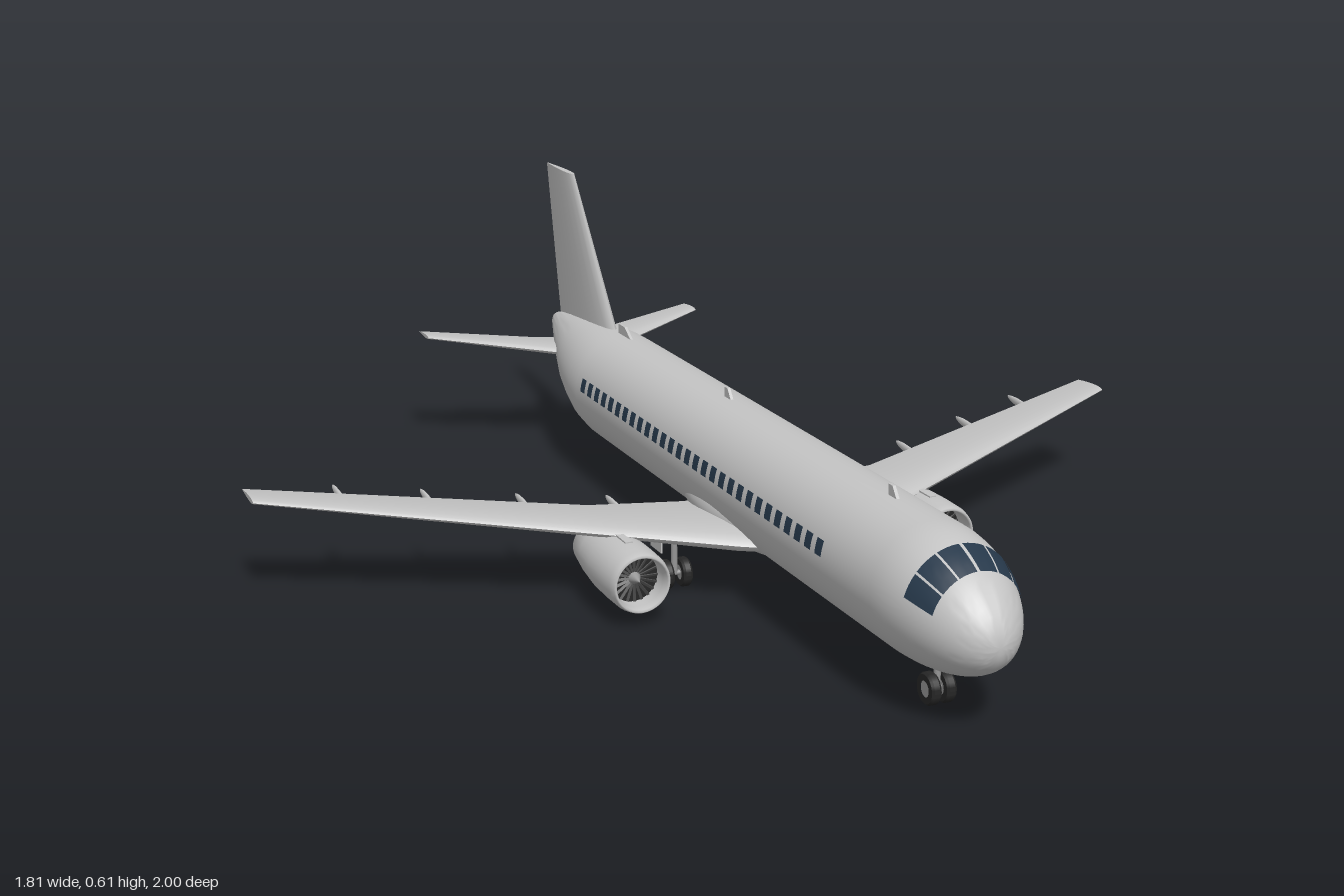
import * as THREE from 'three';
import { mergeGeometries, toCreasedNormals } from 'three/addons/utils/BufferGeometryUtils.js';

const mat = (name, color, side = THREE.FrontSide) => {
  const m = new THREE.MeshStandardMaterial({ color, side });
  m.name = name;
  return m;
};

// Skin through rings of [x, y, z]; each ring turns right-handed about the direction of travel
function loft(rings, closed = true) {
  const n = rings[0].length, pos = rings.flat(2), idx = [];
  for (let i = 0; i < rings.length - 1; i++) {
    for (let j = 0; j < (closed ? n : n - 1); j++) {
      const a = i * n + j, b = i * n + (j + 1) % n;
      idx.push(a, b, b + n, a, b + n, a + n);
    }
  }
  if (closed) {
    const last = (rings.length - 1) * n;
    for (let j = 1; j < n - 1; j++) idx.push(0, j + 1, j, last, last + j, last + j + 1);
  }
  const g = new THREE.BufferGeometry();
  g.setAttribute('position', new THREE.Float32BufferAttribute(pos, 3));
  g.setIndex(idx);
  return toCreasedNormals(g, 0.7);
}

// Tail stations: z, top, bottom, half width
const tail = [
  [-0.54, 0.306, 0.074, 0.112], [-0.6, 0.306, 0.079, 0.107], [-0.66, 0.304, 0.093, 0.097],
  [-0.72, 0.3, 0.115, 0.085], [-0.78, 0.294, 0.142, 0.068], [-0.84, 0.287, 0.171, 0.05],
  [-0.9, 0.278, 0.202, 0.031], [-0.94, 0.27, 0.228, 0.018], [-0.96, 0.262, 0.242, 0.009],
];

// Fuselage centre height and half sizes at z
function section(z) {
  if (z > 0.78) {
    const t = Math.min((z - 0.78) / 0.22, 1), r = Math.sqrt(1 - t * t);
    return [0.19 - 0.024 * t * t, 0.112 * r, 0.116 * r];
  }
  if (z >= tail[0][0]) return [0.19, 0.112, 0.116];
  let i = 0;
  while (i < tail.length - 2 && z < tail[i + 1][0]) i++;
  const k = (z - tail[i][0]) / (tail[i + 1][0] - tail[i][0]);
  const [, top, bot, w] = tail[i].map((v, j) => THREE.MathUtils.lerp(v, tail[i + 1][j], k));
  return [(top + bot) / 2, w, (top - bot) / 2];
}
const skin = (z, a, off = 0) => {
  const [y, rx, ry] = section(z);
  return [(rx + off) * Math.sin(a), y + (ry + off) * Math.cos(a), z];
};
const steps = (n, f) => Array.from({ length: n + 1 }, (_, i) => f(i / n));

// Thin patch lying on the fuselage between two stations and two angles from the top
const patch = (z0, z1, a0, a1) => loft(steps(4, (u) => steps(4, (v) =>
  skin(z0 + (z1 - z0) * u, a0 + (a1 - a0) * v, 0.0025))), false);

// Aerofoil as [chord fraction, half thickness], trailing edge over the top and back underneath
const half = (f) => 5 * (0.2969 * Math.sqrt(f) - 0.126 * f - 0.3516 * f ** 2 + 0.2843 * f ** 3 - 0.1016 * f ** 4);
const foil = Array.from({ length: 20 }, (_, i) => {
  const a = (i / 20) * Math.PI * 2, f = (1 + Math.cos(a)) / 2;
  return [f, half(f) * (i <= 10 ? 1 : -1)];
});
// Sections: x, y, leading z, trailing z, thickness
function aerofoil(sections, side) {
  const rings = sections.map(([x, y, le, te, t]) =>
    foil.map(([f, h]) => [x * side, y + h * t, le + (te - le) * f]));
  return loft(side > 0 ? rings : rings.reverse());
}

export function createModel() {
  const root = new THREE.Group();
  root.name = 'airliner';
  const body = mat('body grey', 0xc4c4c4);
  const shell = mat('shell grey', 0xc4c4c4, THREE.DoubleSide);
  const glass = mat('window blue', 0x26384a);
  const dark = mat('dark metal', 0x4a4a4a);
  const tyre = mat('tyre black', 0x262626);
  const metal = mat('hub grey', 0x969696);
  const add = (name, geo, m, x = 0, y = 0, z = 0, parent = root) => {
    const mesh = new THREE.Mesh(geo, m);
    mesh.name = name;
    mesh.position.set(x, y, z);
    parent.add(mesh);
    return mesh;
  };

  // Fuselage
  const stations = [
    ...steps(16, (u) => 0.78 + 0.22 * Math.cos(u * Math.PI / 2)),
    0.4, 0, -0.3, ...tail.map((s) => s[0]),
  ];
  add('fuselage', loft(stations.map((z) => steps(47, (u) => skin(z, u * Math.PI * 2 * 47 / 48)))), body);
  const exhaust = new THREE.CylinderGeometry(0.012, 0.008, 0.012, 16).rotateX(Math.PI / 2);
  add('tailExhaust', exhaust, dark, 0, 0.252, -0.959);
  const belly = add('bellyFairing', new THREE.SphereGeometry(1, 40, 20), body, 0, 0.13, 0.14);
  belly.scale.set(0.11, 0.062, 0.27);

  // Cabin and cockpit windows
  const cabin = [], cockpit = [];
  for (const s of [1, -1]) {
    const sided = (z0, z1, a0, a1) => (s > 0 ? patch(z0, z1, a0, a1) : patch(z0, z1, -a1, -a0));
    for (let i = 0; i < 29; i++) {
      const z = 0.613 - i * 0.0392;
      cabin.push(sided(z, z - 0.023, 1.22, 1.46));
    }
    for (let i = 0; i < 3; i++) cockpit.push(sided(0.928, 0.87, 0.03 + i * 0.42, 0.41 + i * 0.42));
  }
  add('cabinWindows', mergeGeometries(cabin), glass);
  add('cockpitWindows', mergeGeometries(cockpit), glass);

  // Tail fin, lofted upwards
  const fin = [[0.27, -0.56, -0.928, 0.034], [0.305, -0.59, -0.936, 0.03], [0.607, -0.828, -1, 0.015]];
  add('tailFin', loft(fin.map(([y, le, te, t]) =>
    foil.map(([f, h]) => [-h * t, y, le + (te - le) * f]))), body);

  // Blade antennas
  const blade = (name, z, y, len, h) => {
    const s = new THREE.Shape([[0, 0], [len, 0], [len, h], [len * 0.55, h]].map((p) => new THREE.Vector2(...p)));
    const g = new THREE.ExtrudeGeometry(s, { depth: 0.006, bevelEnabled: false });
    g.translate(-len / 2, 0, -0.003).rotateY(Math.PI / 2);
    const mesh = add(name, g, body, 0, y, z);
    if (h < 0) mesh.material = shell;
  };
  blade('frontAntenna', 0.655, 0.303, 0.03, 0.022);
  blade('middleAntenna', 0, 0.303, 0.03, 0.022);
  blade('rearAntenna', -0.525, 0.3, 0.075, 0.026);
  blade('bellyAntenna', 0.395, 0.077, 0.03, -0.022);

  // Twin wheel set with strut
  const wheels = (name, x, z, gap, top) => {
    const gear = new THREE.Group();
    gear.name = name;
    gear.position.set(x, 0.028, z);
    root.add(gear);
    for (const s of [1, -1]) {
      const profile = [[0.014, -0.009], [0.025, -0.009], [0.028, -0.005], [0.028, 0.005], [0.025, 0.009], [0.014, 0.009]];
      const t = new THREE.LatheGeometry(profile.map((p) => new THREE.Vector2(...p)), 24).rotateZ(Math.PI / 2);
      add('tyre', toCreasedNormals(t, 0.5), tyre, s * gap, 0, 0, gear);
      add('wheelHub', new THREE.CylinderGeometry(0.0145, 0.0145, 0.015, 20).rotateZ(Math.PI / 2), metal, s * gap, 0, 0, gear);
    }
    add('axle', new THREE.CylinderGeometry(0.005, 0.005, gap * 2, 10).rotateZ(Math.PI / 2), metal, 0, 0, 0, gear);
    const h = top - 0.028;
    add('strut', new THREE.CylinderGeometry(0.006, 0.006, h, 12), metal, 0, h / 2, 0, gear);
  };
  wheels('noseGear', 0, 0.81, 0.014, 0.1);

  // Wing height and trailing edge along the span
  const wingY = (x) => 0.118 + (x - 0.11) * 0.1;
  const trail = (x) => (x < 0.3 ? 0.018 : 0.018 - (x - 0.3) * 0.3);

  for (const s of [1, -1]) {
    const side = s > 0 ? 'left' : 'right';
    add(side + 'Wing', aerofoil([
      [0.03, 0.114, 0.338, 0.018, 0.046], [0.11, wingY(0.11), 0.3, 0.018, 0.042],
      [0.3, wingY(0.3), 0.212, 0.018, 0.027], [0.905, 0.198, -0.072, -0.163, 0.01],
    ], s), body);
    add(side + 'Tailplane', aerofoil([
      [0.01, 0.218, -0.725, -0.905, 0.024], [0.07, 0.222, -0.765, -0.915, 0.02],
      [0.325, 0.25, -0.9, -0.97, 0.008],
    ], s), body);

    // Flap track fairings
    for (const x of [0.24, 0.41, 0.58, 0.735]) {
      const f = add(side + 'FlapFairing', new THREE.SphereGeometry(1, 12, 10), body, s * x, wingY(x) - 0.008, trail(x) - 0.005);
      f.scale.set(0.005, 0.009, 0.058);
      f.rotation.x = 0.1;
    }

    // Engine
    const engine = new THREE.Group();
    engine.name = side + 'Engine';
    engine.position.set(s * 0.31, 0.081, 0);
    root.add(engine);
    const lathe = (name, pts, m) => add(name, new THREE.LatheGeometry(
      pts.map((p) => new THREE.Vector2(...p)), 36).rotateX(Math.PI / 2), m, 0, 0, 0, engine);
    lathe('nacelle', [[0.036, 0.1], [0.042, 0.075], [0.051, 0.13], [0.057, 0.19], [0.058, 0.25], [0.057, 0.295],
      [0.054, 0.31], [0.051, 0.314], [0.048, 0.31], [0.046, 0.295], [0.046, 0.26]], shell);
    lathe('fanDuctRear', [[0, 0.095], [0.039, 0.095]], dark);
    lathe('core', [[0.02, 0.042], [0.024, 0.045], [0.032, 0.1]], body);
    lathe('exhaustCone', [[0, 0.02], [0.016, 0.042], [0.024, 0.046]], dark);
    add('fanDisc', new THREE.CircleGeometry(0.047, 32), tyre, 0, 0, 0.268, engine);
    for (let i = 0; i < 20; i++) {
      const b = new THREE.BoxGeometry(0.005, 0.034, 0.002).rotateY(0.5).translate(0, 0.028, 0);
      add('fanBlade', b.rotateZ((i / 20) * Math.PI * 2), dark, 0, 0, 0.272, engine);
    }
    add('spinner', new THREE.ConeGeometry(0.013, 0.028, 24).rotateX(Math.PI / 2), metal, 0, 0, 0.284, engine);
    const pylon = new THREE.BoxGeometry(0.014, 0.034, 0.2, 1, 1, 1);
    add('pylon', pylon, body, 0, 0.043, 0.15, engine);

    // Main gear with door
    wheels(side + 'MainGear', s * 0.18, 0.148, 0.018, 0.125);
    add(side + 'GearDoor', new THREE.BoxGeometry(0.003, 0.045, 0.05), body, s * 0.215, 0.102, 0.148);
  }
  return root;
}
